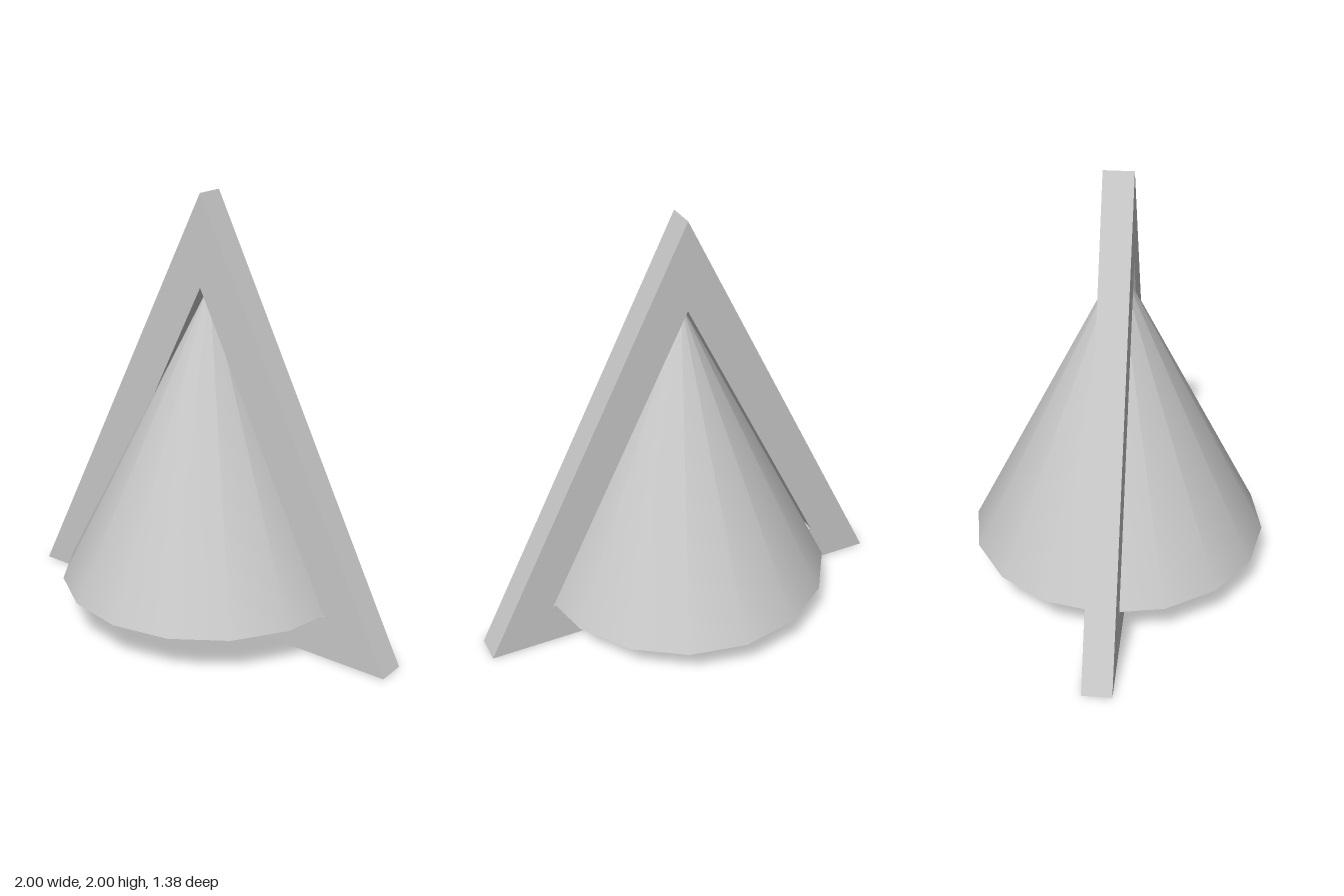
import * as THREE from 'three';

const DEPTH = 0.135;      // frame thickness
const BASE_Y = 0.2;       // height of the cone base
const APEX_Y = 1.585;     // height of the cone tip
const RADIUS = 0.69;

// Traces an isosceles triangle on a shape or path
function triangle(path, halfWidth, bottom, top) {
  path.moveTo(-halfWidth, bottom);
  path.lineTo(halfWidth, bottom);
  path.lineTo(0, top);
  path.closePath();
  return path;
}

export function createModel() {
  const group = new THREE.Group();
  const grey = new THREE.MeshStandardMaterial({ color: 0xc8c8c8 });
  grey.name = 'light grey';

  // Upright triangular frame with a matching opening
  const outline = triangle(new THREE.Shape(), 1, 0, 2);
  outline.holes.push(triangle(new THREE.Path(), RADIUS, BASE_Y, APEX_Y));
  const frameGeometry = new THREE.ExtrudeGeometry(outline, { depth: DEPTH, bevelEnabled: false });
  frameGeometry.translate(0, 0, -DEPTH / 2);
  const frame = new THREE.Mesh(frameGeometry, grey);
  frame.name = 'triangularFrame';

  // Sixteen-sided smooth cone filling the opening
  const height = APEX_Y - BASE_Y;
  const cone = new THREE.Mesh(new THREE.ConeGeometry(RADIUS, height, 16), grey);
  cone.position.y = BASE_Y + height / 2;
  cone.name = 'cone';

  group.add(frame, cone);
  return group;
}
